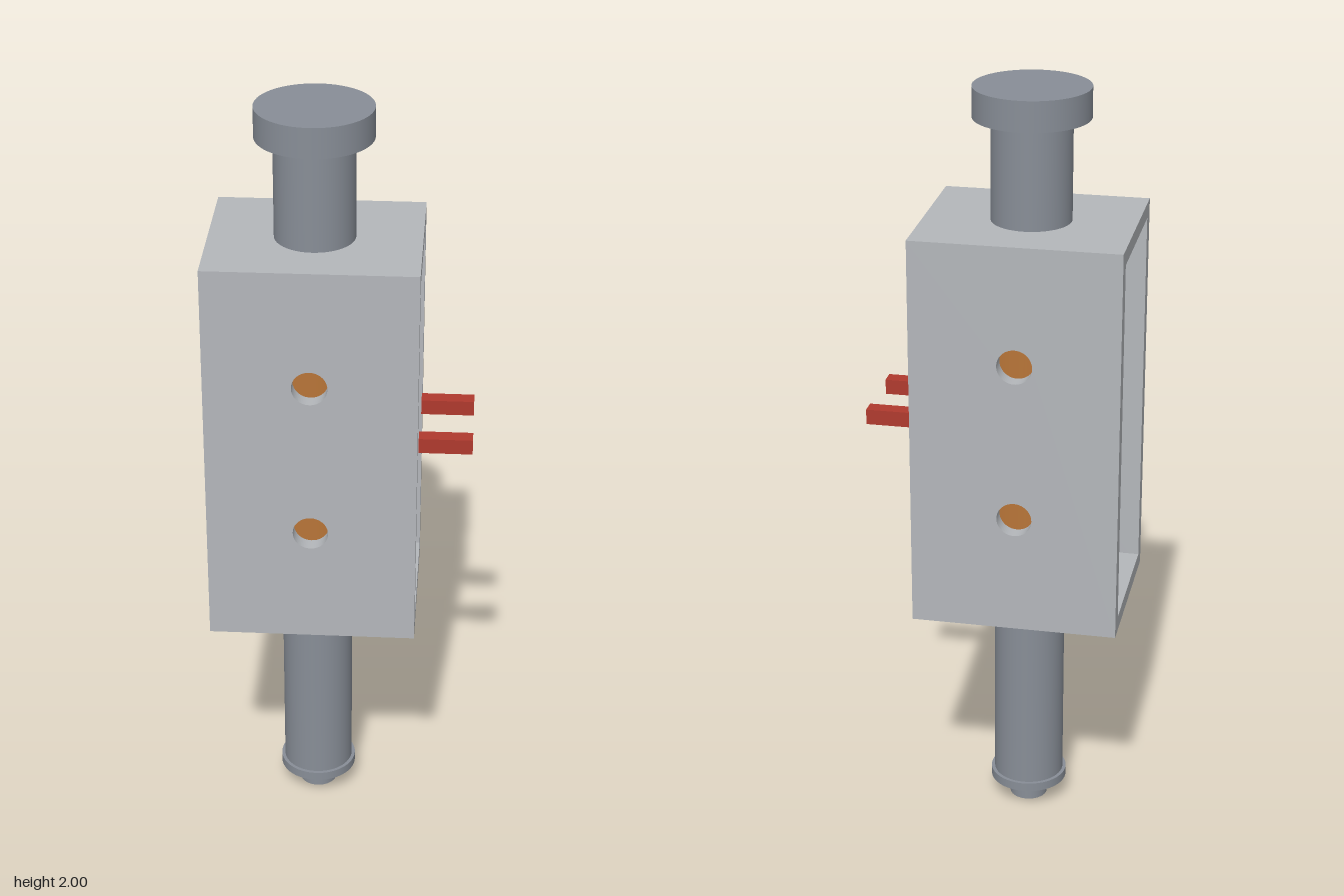
import * as THREE from 'three';

export function createModel() {
  const model = new THREE.Group();
  const mat = (name, color) => {
    const m = new THREE.MeshStandardMaterial({ color });
    m.name = name;
    return m;
  };
  const frameGrey = mat('frame grey', 0xb4b7bb);
  const steel = mat('steel', 0x888e97);
  const copper = mat('copper', 0xb87538);
  const red = mat('terminal red', 0xb03a2e);

  const axisX = -0.07; // centre line of the plunger and coil

  const add = (name, geometry, material, x, y, z) => {
    const mesh = new THREE.Mesh(geometry, material);
    mesh.name = name;
    mesh.position.set(x, y, z);
    model.add(mesh);
  };
  const cylinder = (name, radius, y0, y1, material) =>
    add(name, new THREE.CylinderGeometry(radius, radius, y1 - y0, 64), material, axisX, (y0 + y1) / 2, 0);

  // Box frame, open at both x ends
  const x0 = -0.335, x1 = 0.198, y0 = 0.625, y1 = 1.66, halfZ = 0.224, wall = 0.04;

  // Front and back plates with two mounting holes each
  const plate = new THREE.Shape();
  plate.moveTo(x0, y0).lineTo(x1, y0).lineTo(x1, y1).lineTo(x0, y1).closePath();
  for (const y of [0.935, 1.35]) {
    plate.holes.push(new THREE.Path().absarc(axisX, y, 0.045, 0, Math.PI * 2, true));
  }
  const plateGeometry = new THREE.ExtrudeGeometry(plate, { depth: wall, bevelEnabled: false, curveSegments: 32 });
  add('frameFrontPlate', plateGeometry, frameGrey, 0, 0, halfZ - wall);
  add('frameBackPlate', plateGeometry, frameGrey, 0, 0, -halfZ);

  // Top and bottom plates
  const endGeometry = new THREE.BoxGeometry(x1 - x0, wall, 2 * (halfZ - wall));
  add('frameTopPlate', endGeometry, frameGrey, (x0 + x1) / 2, y1 - wall / 2, 0);
  add('frameBottomPlate', endGeometry, frameGrey, (x0 + x1) / 2, y0 + wall / 2, 0);

  // Coil
  cylinder('coil', 0.163, 0.675, 1.61, copper);

  // Plunger above the frame
  cylinder('plunger', 0.102, 1.6, 1.93, steel);
  cylinder('plungerCap', 0.148, 1.922, 2, steel);

  // Push rod, sleeve and retaining ring below the frame
  cylinder('pushRod', 0.05, 0, 0.65, steel);
  cylinder('sleeve', 0.093, 0.07, 0.605, steel);
  cylinder('retainingRing', 0.102, 0.057, 0.081, steel);

  // Pair of terminals
  for (const side of [-1, 1]) {
    add(side > 0 ? 'terminalFront' : 'terminalBack',
      new THREE.BoxGeometry(0.137, 0.04, 0.041), red, 0.2665, 1.143, side * 0.103);
  }
  return model;
}
